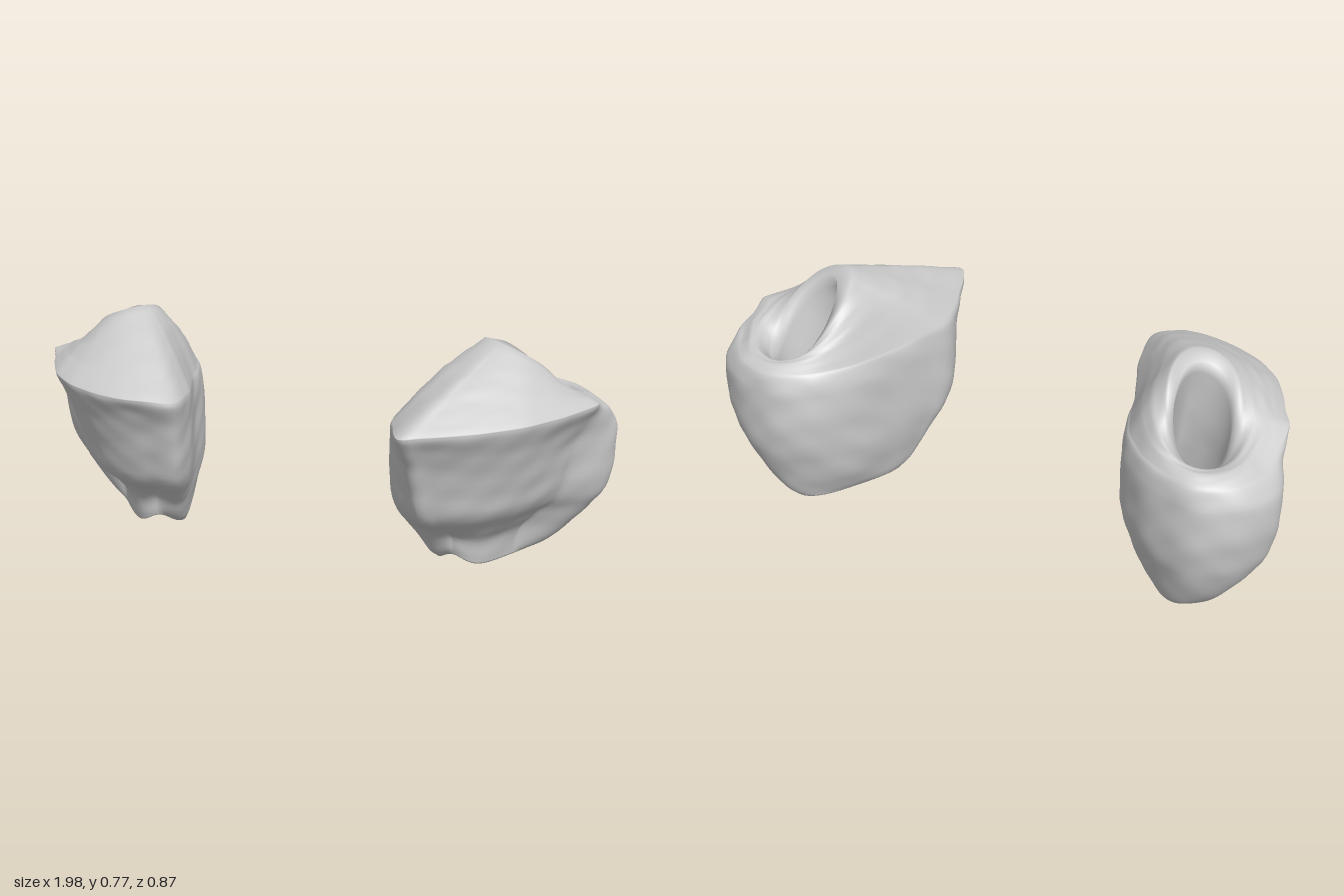
import * as THREE from 'three';

const SEGMENTS = 120;
const lerp = THREE.MathUtils.lerp;

// Wall profile: height, spread at sides and back, spread at the toe (0 = sole outline, 1 = widest outline)
const WALL = new THREE.CatmullRomCurve3([
  [0.003, 0, 0], [0.03, 0.22, 0.02], [0.1, 0.54, 0.07], [0.17, 0.77, 0.28], [0.25, 0.93, 0.57], [0.34, 1, 0.67],
  [0.45, 0.98, 0.79], [0.52, 0.9, 0.9], [0.565, 0.8, 0.985], [0.585, 0.7, 1],
].map((p) => new THREE.Vector3(...p)));

// Low, layered waves that roughen the surface
function bumps(x, y, z) {
  return 0.004 * Math.sin(9 * x + 14 * y + 5 * z) * Math.sin(11 * z - 7 * y + 2)
    + 0.002 * Math.sin(31 * x - 23 * y + 1) * Math.sin(27 * z + 19 * y)
    + 0.001 * Math.sin(53 * y + 41 * z + 37 * x);
}

// Point of a turned ellipse in direction a from its centre (angles run from +z towards +x); n > 2 squares it off
function onEllipse({ x, z, rx, rz, yaw = 0, n = 2 }, a, k = 1) {
  const u = Math.abs(Math.sin(a - yaw)) / rx, v = Math.abs(Math.cos(a - yaw)) / rz;
  const r = k * (u ** n + v ** n) ** (-1 / n);
  return [x + Math.sin(a) * r, z + Math.cos(a) * r];
}

// A hollow, rocky boot shell: wall, sloping roof, then a tunnel back down to the sole
function makeShell({ side, outline, hole, sole, opening, toe, peak }) {
  const curve = new THREE.CatmullRomCurve3(outline.map(([x, z]) => new THREE.Vector3(x, 0, z)), true, 'centripetal');
  const wide = curve.getSpacedPoints(SEGMENTS).slice(0, SEGMENTS);
  const toeAngle = Math.atan2(toe[0] - hole.x, toe[1] - hole.z);
  const peakAngle = Math.atan2(peak[0] - hole.x, peak[1] - hole.z);
  const columns = wide.map((p) => {
    const a = Math.atan2(p.x - hole.x, p.z - hole.z);
    // The undercut covers the toe and the outer front flank
    const front = THREE.MathUtils.clamp(1.4 * Math.cos(a - toeAngle - side * 0.78), 0, 1) ** 1.5;
    const toPeak = Math.cos(a - peakAngle);
    const rimY = 0.637 + 0.133 * toPeak;
    const rimScale = 1.2 + 0.3 * Math.max(0, toPeak) ** 2;
    return { p, a, front, rimY, rimScale };
  });
  const rings = [];

  // Outer wall
  for (const w of WALL.getPoints(40)) {
    rings.push(columns.map(({ p, a, front }) => {
      const t = lerp(w.y, w.z, front);
      const [sx, sz] = onEllipse(sole, a);
      const notch = 0.04 * Math.exp(-(((a - toeAngle) / 0.25) ** 2)) * Math.max(0, 1 - w.x / 0.2);
      const x = lerp(sx, p.x, t), z = lerp(sz, p.z, t);
      const y = w.x + notch - 0.055 * (1 - front) * Math.max(0, (w.x - 0.45) / 0.14);
      const b = bumps(x, y, z) * Math.min(1, w.x * 12);
      return [x + Math.sin(a) * b, y, z + Math.cos(a) * b];
    }));
  }

  // Roof rising from the shoulder to the slanted rim
  const shoulder = rings[rings.length - 1];
  for (let i = 1; i <= 12; i++) {
    const s = i / 12, arch = Math.sin(Math.PI * s);
    rings.push(columns.map(({ a, front, rimY, rimScale }, j) => {
      const [rx, rz] = onEllipse(hole, a, rimScale);
      const [x0, y0, z0] = shoulder[j];
      const x = lerp(x0, rx, s), z = lerp(z0, rz, s);
      const y = lerp(y0, rimY, s) + arch * (0.005 + 0.025 * (1 - front) + bumps(x, s, z));
      return [x, y, z];
    }));
  }

  // Tunnel leaning down to the opening in the sole
  for (let i = 0; i <= 16; i++) {
    const k = i / 16;
    rings.push(columns.map(({ a, rimY }) => {
      const [tx, tz] = onEllipse(hole, a);
      const [bx, bz] = onEllipse(opening, a);
      const x = lerp(tx, bx, k), z = lerp(tz, bz, k);
      const y = lerp(rimY - 0.015, 0.02, k);
      const b = bumps(x, y, z) * Math.sin(Math.PI * k);
      return [x + Math.sin(a) * b, y, z + Math.cos(a) * b];
    }));
  }

  const index = [];
  for (let r = 0; r < rings.length; r++) {
    const r2 = (r + 1) % rings.length;
    for (let j = 0; j < SEGMENTS; j++) {
      const j2 = (j + 1) % SEGMENTS;
      const a = r * SEGMENTS + j, b = r * SEGMENTS + j2;
      const c = r2 * SEGMENTS + j2, d = r2 * SEGMENTS + j;
      index.push(a, b, c, a, c, d);
    }
  }
  const geometry = new THREE.BufferGeometry();
  geometry.setAttribute('position', new THREE.Float32BufferAttribute(rings.flat(2), 3));
  geometry.setIndex(index);
  geometry.computeVertexNormals();
  return geometry;
}

export function createModel() {
  const group = new THREE.Group();
  group.name = 'rockyBoots';
  const material = new THREE.MeshStandardMaterial({ color: 0xcccccc });

  const shells = {
    leftBoot: {
      side: 1,
      outline: [[0.295, 0.21], [0.34, 0.34], [0.4, 0.44], [0.46, 0.41], [0.6, 0.34], [0.75, 0.23], [0.87, 0.08],
        [0.95, -0.06], [1.0, -0.18], [0.93, -0.3], [0.83, -0.37], [0.7, -0.4], [0.58, -0.36], [0.48, -0.25],
        [0.4, -0.08], [0.34, 0.05], [0.295, 0.14]],
      hole: { x: 0.69, z: -0.155, rx: 0.105, rz: 0.115 },
      sole: { x: 0.595, z: -0.115, rx: 0.095, rz: 0.21, yaw: -0.6, n: 3 },
      opening: { x: 0.59, z: -0.12, rx: 0.055, rz: 0.16, yaw: -0.6 },
      toe: [0.42, 0.42],
      peak: [0.58, 0],
    },
    rightBoot: {
      side: -1,
      outline: [[-0.36, 0.34], [-0.355, 0.22], [-0.39, 0.1], [-0.42, 0], [-0.44, -0.14], [-0.5, -0.26],
        [-0.6, -0.36], [-0.68, -0.4], [-0.8, -0.42], [-0.92, -0.36], [-1.0, -0.22], [-0.98, -0.1],
        [-0.92, 0.03], [-0.87, 0.15], [-0.78, 0.26], [-0.65, 0.34], [-0.55, 0.365], [-0.44, 0.365]],
      hole: { x: -0.71, z: -0.155, rx: 0.09, rz: 0.115 },
      sole: { x: -0.635, z: -0.125, rx: 0.095, rz: 0.21, yaw: 0.6, n: 3 },
      opening: { x: -0.625, z: -0.13, rx: 0.055, rz: 0.16, yaw: 0.6 },
      toe: [-0.46, 0.36],
      peak: [-0.6, 0],
    },
  };
  for (const [name, shape] of Object.entries(shells)) {
    const mesh = new THREE.Mesh(makeShell(shape), material);
    mesh.name = name;
    group.add(mesh);
  }
  return group;
}
